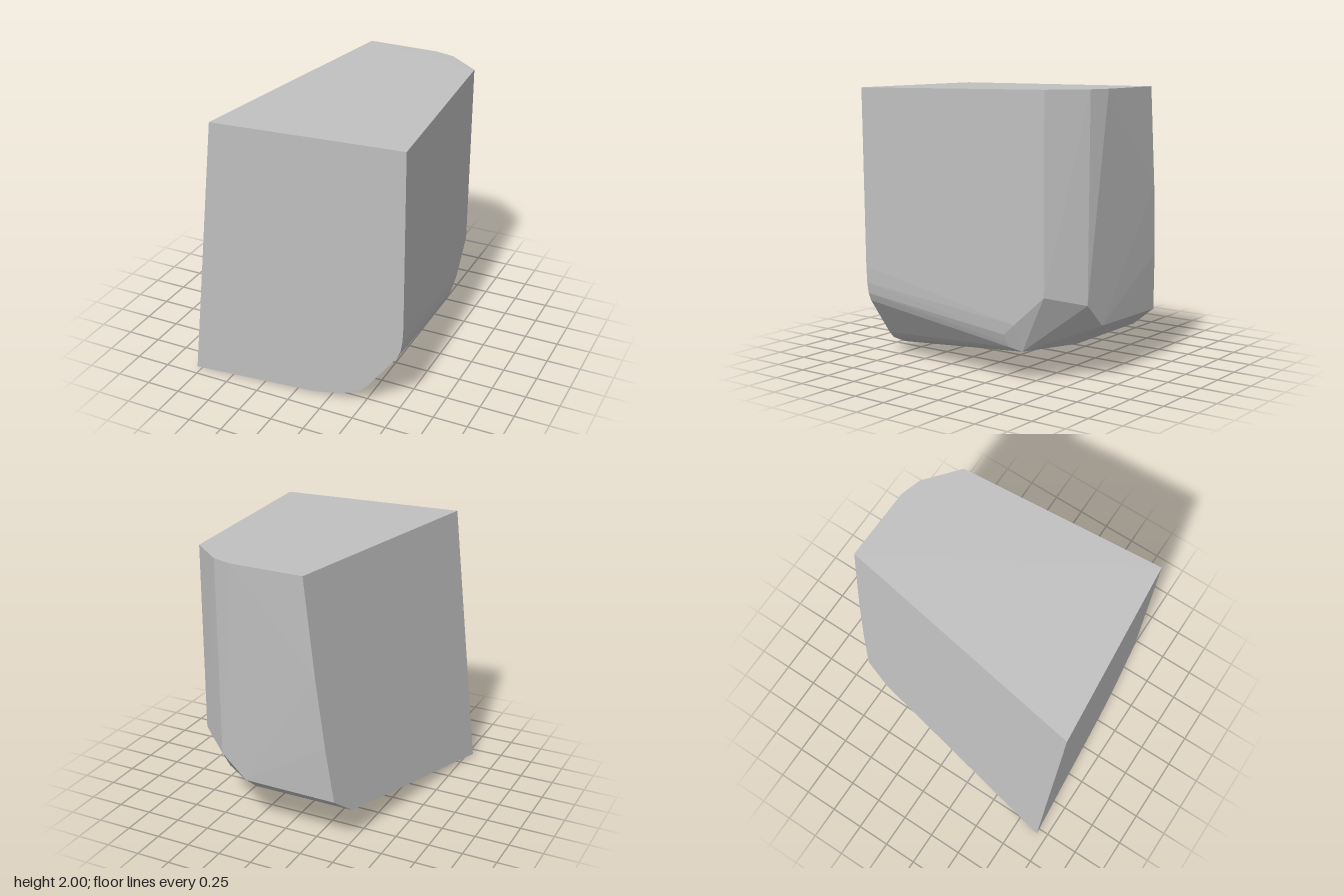
import * as THREE from 'three';
import { ConvexGeometry } from 'three/addons/geometries/ConvexGeometry.js';

export function createModel() {
  const group = new THREE.Group();
  const grey = new THREE.MeshStandardMaterial({ color: 0xc0c0c0 });
  grey.name = 'stone grey';

  // Planes of the slanted front and left sides
  const frontZ = (x, y) => 0.93 - 0.0815 * (x + 0.57) - 0.0116 * (1.98 - y);
  const leftX = (y, z) => -0.57 + 0.1667 * (0.93 - z) - 0.111 * (1.98 - y);

  // Front outline with a rounded lower corner
  const front = [
    [-0.57, 1.98], [0.785, 1.985], [0.785, 0.7], [0.78, 0.58], [0.767, 0.5], [0.74, 0.44],
    [0.53, 0.16], [0.48, 0.11], [0.34, 0.05], [0.13, 0.015], [-0.79, 0],
  ].map(([x, y]) => [x, y, frontZ(x, y)]);

  // Back left edge, bowing gently outwards as it rises
  const backLeft = [
    [0.24, -0.68], [0.385, -0.87], [0.8, -0.903], [1.3, -0.925], [2, -0.935],
  ].map(([y, z]) => [leftX(y, z), y, z]);

  // Bevelled back right side, top rim
  const backRim = [[0.67, 2, -0.68], [0.43, 2, -0.88], [0.28, 2, -0.925]];

  // Bevelled lower back corner
  const corner = [
    [0.67, 0.63, -0.68], [0.43, 0.56, -0.87], [0.245, 0.39, -0.87], [0.27, 0.24, -0.68],
    [0.62, 0.225, -0.47], [0.65, 0.25, -0.38], [0.665, 0.285, -0.36], [0.685, 0.34, -0.36],
    [0.69, 0.42, -0.45],
  ];

  const points = [...front, ...backLeft, ...backRim, ...corner]
    .map((p) => new THREE.Vector3(...p));
  const block = new THREE.Mesh(new ConvexGeometry(points), grey);
  block.name = 'bevelledBlock';
  group.add(block);
  return group;
}
